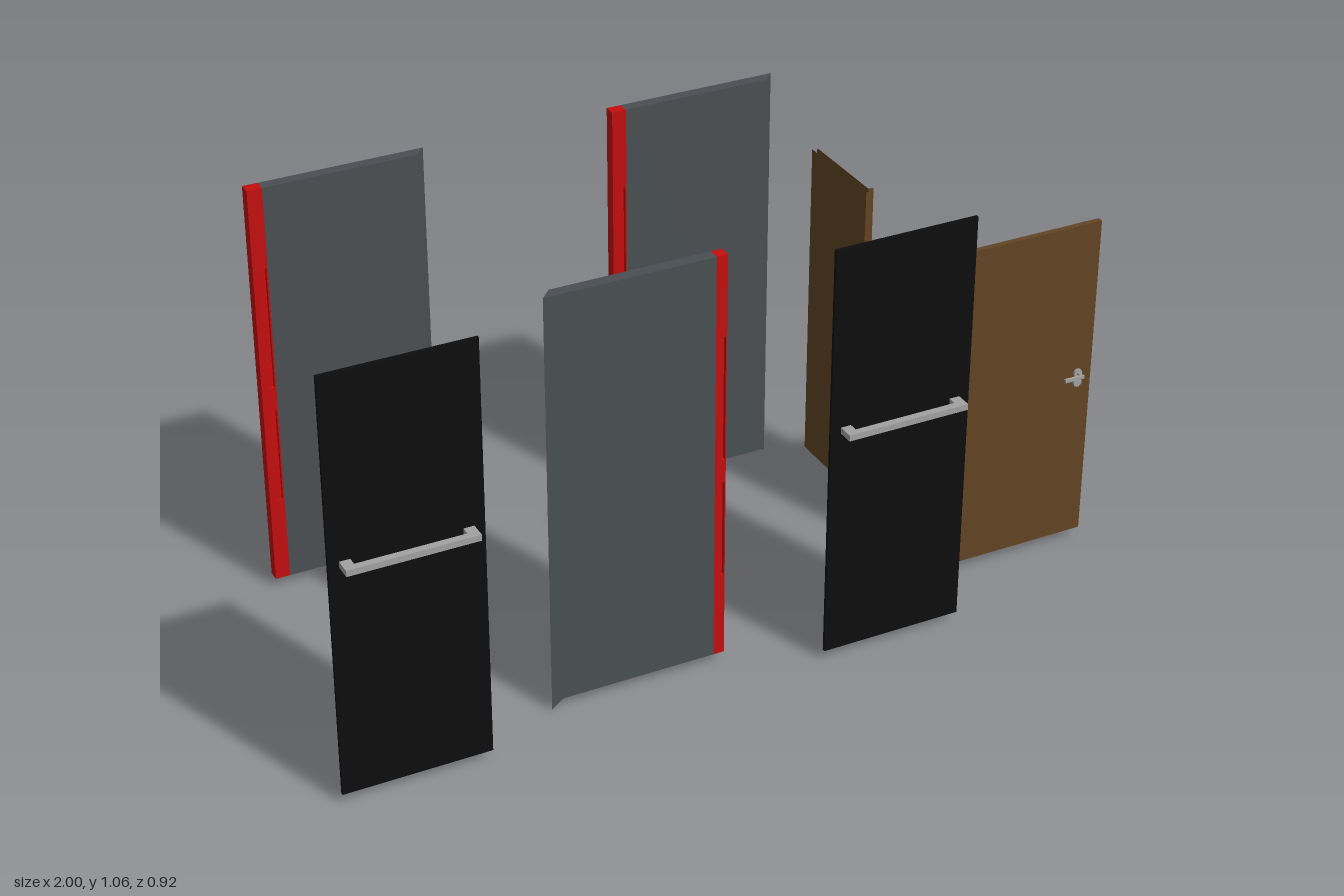
import * as THREE from 'three';

const mat = (name, color) => {
  const m = new THREE.MeshStandardMaterial({ color });
  m.name = name;
  return m;
};

export function createModel() {
  const grey = mat('slate grey', 0x4a4f53);
  const red = mat('red', 0xc40e0e);
  const black = mat('black glass', 0x0d0d0d);
  const brown = mat('brown wood', 0x634524);
  const metal = mat('brushed metal', 0xa2a2a2);

  const model = new THREE.Group();
  const BASE = 0.022;

  const add = (parent, name, geo, material) => {
    const mesh = new THREE.Mesh(geo, material);
    mesh.name = name;
    parent.add(mesh);
    return mesh;
  };
  const group = (name, parent = model) => {
    const g = new THREE.Group();
    g.name = name;
    parent.add(g);
    return g;
  };
  // Box given by its lower and upper limits on each axis
  const box = (x0, x1, y0, y1, z0, z1) =>
    new THREE.BoxGeometry(x1 - x0, y1 - y0, z1 - z0)
      .translate((x0 + x1) / 2, (y0 + y1) / 2, (z0 + z1) / 2);
  // Upright prism from an [x, z] outline
  const prism = (points, y0, y1) =>
    new THREE.ExtrudeGeometry(
      new THREE.Shape(points.map(([x, z]) => new THREE.Vector2(x, -z))),
      { depth: y1 - y0, bevelEnabled: false }
    ).rotateX(-Math.PI / 2).translate(0, y0, 0);

  // Sliding panel: red grip edge at local x = 0, mitred far end
  function slidingPanel(x, z, turn, r) {
    const g = group('slidingPanel');
    const h = 0.0145, w = 0.435, top = 1.05, mitre = 0.027;
    add(g, 'panelLeaf', prism([[-r, -h], [-r, h], [-w, h], [-w + mitre, -h]], BASE, top), grey);

    // Small pointed guide under the mitred corner
    const a = [-w, 0, h], b = [-w, BASE, h], c = [-w + mitre, BASE, h], d = [-w + mitre, BASE, -h];
    const tip = new THREE.BufferGeometry();
    tip.setAttribute('position', new THREE.Float32BufferAttribute(
      [a, c, b, a, d, c, a, b, d].flat(), 3));
    tip.computeVertexNormals();
    add(g, 'guideTip', tip, grey);

    // Grip edge: solid lengths alternating with lengths that have finger grooves
    const solid = [[-r, -h], [0, -h], [0, h], [-r, h]];
    const deep = 0.009;
    const grooved = [
      [-r, -h], [-r * 0.9, -h], [-r * 0.9, -h + deep], [-r * 0.4, -h],
      [0, -h], [0, h],
      [-r * 0.1, h], [-r * 0.1, h - deep], [-r * 0.65, h], [-r, h],
    ];
    const levels = [BASE, 0.235, 0.48, 0.54, 0.85, top];
    for (let i = 0; i < 5; i++) {
      add(g, i % 2 ? 'groovedGrip' : 'gripEdge',
        prism(i % 2 ? grooved : solid, levels[i], levels[i + 1]), red);
    }
    g.position.set(x, 0, z);
    g.rotation.y = turn;
  }
  slidingPanel(-0.02, 0.302, 0, 0.027);
  slidingPanel(-0.83, -0.445, Math.PI, 0.036);
  slidingPanel(0.07, -0.445, Math.PI, 0.036);

  // Glass doors with a rectangular bar handle passing around both faces
  for (const x of [-0.823, 0.363]) {
    const g = group('glassDoor');
    add(g, 'glassPane', box(-0.177, 0.177, BASE, 1.058, -0.004, 0.004), black);
    const y0 = 0.598, y1 = 0.613, hx = 0.152, hz = 0.043;
    for (const s of [-1, 1]) {
      add(g, 'handleBar', box(-hx, hx, y0, y1, s * hz - 0.009 * (s + 1), s * hz + 0.009 * (1 - s)), metal);
      add(g, 'handleEnd', box(s * hx - 0.0125 * (s + 1), s * hx + 0.0125 * (1 - s), y0, y1, -hz + 0.018, hz - 0.018), metal);
    }
    g.position.set(x, 0, 0.417);
  }

  // Timber door with a rebated lip on its front
  const door = group('timberDoor');
  add(door, 'doorLip', box(0.613, 0.998, BASE, 0.86, 0.226, 0.24), brown);
  add(door, 'doorBody', box(0.613, 0.984, BASE, 0.848, 0.21, 0.226), brown);

  // Lever handles and key roses on both faces
  for (const s of [-1, 1]) {
    const g = group('leverHandle', door);
    const disc = (r, len, y, z) =>
      new THREE.CylinderGeometry(r, r, len, 16).rotateX(Math.PI / 2).translate(0.96, y, 0.225 + s * z);
    add(g, 'handleRose', disc(0.011, 0.006, 0.466, 0.018), metal);
    add(g, 'keyRose', disc(0.011, 0.006, 0.441, 0.018), metal);
    add(g, 'handleStem', disc(0.004, 0.026, 0.466, 0.028), metal);
    const z = 0.225 + s * 0.038;
    add(g, 'lever', box(0.912, 0.964, 0.462, 0.47, z - 0.0035, z + 0.0035), metal);
  }

  // Side leaf, open along its top edge, with the lip on its outer face
  const openTop = (geo) => {
    geo.setIndex([...geo.index.array].filter((_, i) => i < 12 || i > 17));
    geo.clearGroups();
    return geo;
  };
  const side = group('sideLeaf');
  add(side, 'sideLip', openTop(box(0.586, 0.6, BASE, 0.86, -0.392, -0.132)), brown);
  add(side, 'sideBody', openTop(box(0.6, 0.614, BASE, 0.86, -0.392, -0.146)), brown);

  return model;
}
